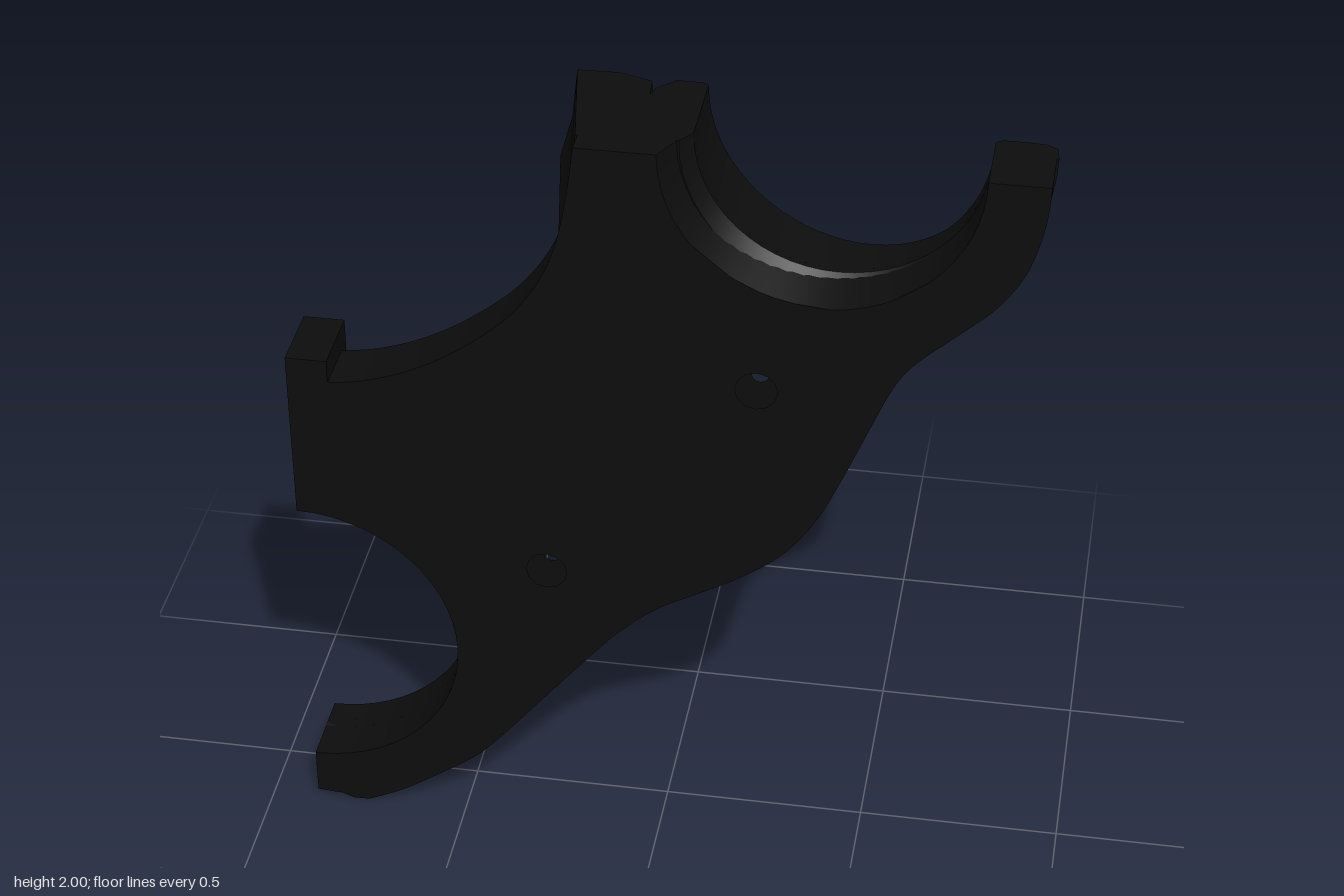
import * as THREE from 'three';
import { toCreasedNormals } from 'three/addons/utils/BufferGeometryUtils.js';

const upper = { x: 0.405, y: 2.0, r: 0.335 };
const lower = { x: -0.885, y: 0.527, r: 0.385 };
const SLOPE = 0.0115; // plate leans slightly forward with height

// Solid lofted through a list of closed sections, each an array of [x, y, z]
function loft(sections) {
  const n = sections[0].length, last = (sections.length - 1) * n, idx = [];
  for (let i = 0; i < sections.length - 1; i++) {
    for (let j = 0; j < n; j++) {
      const a = i * n + j, b = i * n + (j + 1) % n;
      idx.push(a, b, a + n, b, b + n, a + n);
    }
  }
  for (let j = 1; j < n - 1; j++) {
    idx.push(0, j + 1, j, last, last + j, last + j + 1);
  }
  // Turn the faces outward
  const pts = sections.flat().map((p) => new THREE.Vector3(...p));
  let volume = 0;
  for (let i = 0; i < idx.length; i += 3) {
    volume += pts[idx[i]].dot(pts[idx[i + 1]].clone().cross(pts[idx[i + 2]]));
  }
  if (volume < 0) idx.reverse();
  const g = new THREE.BufferGeometry().setFromPoints(pts);
  g.setIndex(idx);
  return toCreasedNormals(g.toNonIndexed(), 0.6);
}

// Raised rim swept around a half-round cut-out; profile(x) gives [radius offset, z] pairs
function rim(c, from, to, profile) {
  const sections = [];
  for (let i = 0; i <= 32; i++) {
    const t = from + (to - from) * i / 32, cos = Math.cos(t), sin = Math.sin(t);
    sections.push(profile(c.x + c.r * cos).map(([d, z]) => [c.x + (c.r + d) * cos, c.y + (c.r + d) * sin, z]));
  }
  return loft(sections);
}

function plateShape() {
  const v = (list) => list.map(([x, y]) => new THREE.Vector2(x, y));
  const s = new THREE.Shape();
  // Left tab and concave upper-left edge
  s.moveTo(-0.885, 1.36);
  s.lineTo(-0.785, 1.36);
  s.lineTo(-0.785, 1.3);
  s.splineThru(v([[-0.7, 1.315], [-0.6, 1.35], [-0.5, 1.405], [-0.4, 1.48], [-0.33, 1.55], [-0.27, 1.64], [-0.23, 1.74], [-0.203, 1.87], [-0.185, 2]]));
  // Upper cut-out
  s.lineTo(upper.x - upper.r, 2);
  for (let i = 1; i <= 28; i++) {
    const t = Math.PI * (1 + i / 28);
    s.lineTo(upper.x + upper.r * Math.cos(t), upper.y + upper.r * Math.sin(t));
  }
  // Flowing outer edge
  s.lineTo(0.88, 2);
  s.splineThru(v([[0.872, 1.9], [0.84, 1.78], [0.78, 1.68], [0.7, 1.6], [0.6, 1.505], [0.55, 1.43], [0.5, 1.31], [0.44, 1.16],
    [0.38, 1.03], [0.3, 0.92], [0.2, 0.84], [0.1, 0.78], [0, 0.72], [-0.1, 0.63], [-0.2, 0.51], [-0.3, 0.385],
    [-0.4, 0.26], [-0.47, 0.185], [-0.56, 0.118], [-0.66, 0.05], [-0.75, 0.005]]));
  s.lineTo(-0.79, 0.003);
  s.lineTo(-0.82, 0.015);
  s.lineTo(-0.885, 0.02);
  // Lower cut-out
  for (let i = 0; i <= 28; i++) {
    const t = Math.PI * (-0.5 + i / 28);
    s.lineTo(lower.x + lower.r * Math.cos(t), lower.y + lower.r * Math.sin(t));
  }
  // Bolt holes
  for (const [x, y] of [[0.235, 1.39], [-0.27, 0.805]]) {
    const h = new THREE.Path();
    h.absarc(x, y, 0.05, 0, Math.PI * 2, true);
    s.holes.push(h);
  }
  return s;
}

// Apply a rule to every vertex, lean the plate and refresh its normals
function shapePlate(g, rule) {
  const p = g.attributes.position, q = new THREE.Vector3();
  for (let i = 0; i < p.count; i++) {
    q.fromBufferAttribute(p, i);
    rule(q);
    p.setXYZ(i, q.x, q.y, q.z + SLOPE * q.y);
  }
  return toCreasedNormals(g, 0.6);
}

export function createModel() {
  const group = new THREE.Group();
  const black = new THREE.MeshStandardMaterial({ color: 0x0d0d0d });
  black.name = 'black';
  const add = (name, geometry) => {
    const m = new THREE.Mesh(geometry, black);
    m.name = name;
    group.add(m);
  };

  // Front plate, its upper cut-out flaring towards the front on the left side
  const front = new THREE.ExtrudeGeometry(plateShape(), { depth: 0.135, bevelEnabled: false, curveSegments: 6 });
  front.translate(0, 0, 0.02);
  add('frontPlate', shapePlate(front, (q) => {
    const dx = q.x - upper.x, dy = q.y - upper.y, r = Math.hypot(dx, dy);
    if (q.z > 0.1 && Math.abs(r - upper.r) < 0.005) {
      const k = 1 + 0.1 * (1 - dx / r);
      q.x = upper.x + dx * k;
      q.y = upper.y + dy * k;
    }
  }));

  // Back plate with bevelled edges and countersunk bolt holes
  const back = new THREE.ExtrudeGeometry(plateShape(), {
    depth: 0.03, bevelThickness: 0.04, bevelSize: 0.028, bevelOffset: -0.028, bevelSegments: 1, curveSegments: 6,
  });
  back.translate(0, 0, 0.015);
  add('backPlate', shapePlate(back, (q) => {
    if (q.x < -0.85) q.x = -0.885;
    if (q.y > 1.965) q.y = 2;
  }));

  // Square-edged tab on the left
  const tab = new THREE.BoxGeometry(0.1, 0.4, 0.165);
  tab.translate(-0.835, 1.16, 0.0705);
  add('sideTab', tab);

  // Upper rim, tall at the post and fading out along the arm
  add('upperRim', rim(upper, Math.PI, Math.PI * 2, (x) => {
    const t = Math.min(1, Math.max(0, x / 0.65));
    const z = -0.17 + 0.158 * Math.pow(t, 1.4);
    return [[0, 0.05], [0, z + 0.012], [0.015, z], [0.075, z], [0.115, z * 0.75], [0.14, z * 0.3 + 0.01], [0.145, 0.05]];
  }));

  // Low rim around the lower cut-out
  add('lowerRim', rim(lower, -Math.PI / 2, Math.PI / 2, () =>
    [[0, 0.05], [0, -0.045], [0.012, -0.057], [0.06, -0.055], [0.085, -0.03], [0.09, 0.05]]));

  // Post at the top edge, standing out to the back
  add('topPost', loft([
    [[-0.19, 2, 0.12], [-0.24, 2, -0.175], [-0.14, 2, -0.178], [-0.06, 2, -0.15], [-0.04, 2, 0.12]],
    [[-0.207, 1.87, 0.12], [-0.255, 1.87, -0.182], [-0.15, 1.85, -0.18], [-0.06, 1.83, -0.145], [-0.04, 1.83, 0.12]],
    [[-0.232, 1.742, 0.12], [-0.285, 1.765, -0.182], [-0.17, 1.715, -0.177], [-0.07, 1.675, -0.14], [-0.05, 1.665, 0.12]],
  ]));

  return group;
}
